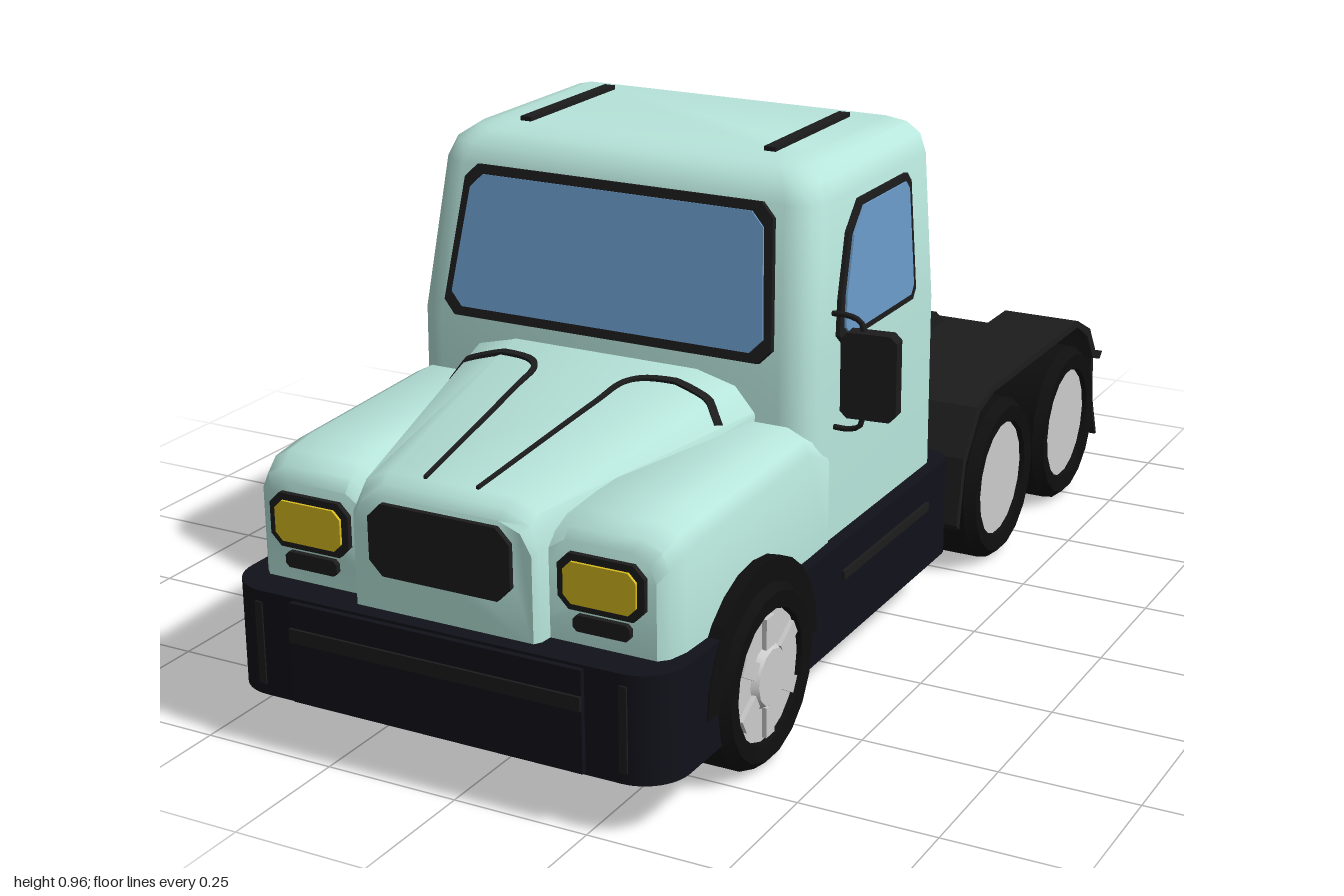
import * as THREE from 'three';
import { toCreasedNormals } from 'three/addons/utils/BufferGeometryUtils.js';

const mat = (color) => new THREE.MeshStandardMaterial({ color });
const paint = mat(0xb8e6dc), black = mat(0x1c1c1c), skirtDark = mat(0x11111a), rubber = mat(0x0e0e0e);
const glass = mat(0x6a9ac8), yellow = mat(0xd8bc20), metal = mat(0xcccccc);
rubber.side = THREE.DoubleSide;

// Closed skin over rings of [x, y, z] with flat end caps; winding is turned outward by volume
function loft(rings, crease = 0.7) {
  const n = rings[0].length, idx = [];
  for (let r = 0; r + 1 < rings.length; r++) {
    for (let i = 0; i < n; i++) {
      const a = r * n + i, b = r * n + (i + 1) % n;
      idx.push(a, b, b + n, a, b + n, a + n);
    }
  }
  const last = (rings.length - 1) * n;
  for (let i = 1; i + 1 < n; i++) idx.push(0, i + 1, i, last, last + i, last + i + 1);
  const p = rings.flat().map((q) => new THREE.Vector3(...q)), c = new THREE.Vector3();
  let volume = 0;
  for (let i = 0; i < idx.length; i += 3) volume += p[idx[i]].dot(c.crossVectors(p[idx[i + 1]], p[idx[i + 2]]));
  if (volume < 0) idx.reverse();
  const g = new THREE.BufferGeometry().setFromPoints(p);
  g.setIndex(idx);
  return toCreasedNormals(g.toNonIndexed(), crease);
}

// Outline in x/y extruded along z, centred on z = 0
function plate(points, depth) {
  const shape = new THREE.Shape(points.map(([x, y]) => new THREE.Vector2(x, y)));
  return new THREE.ExtrudeGeometry(shape, { depth, bevelEnabled: false }).translate(0, 0, -depth / 2);
}
// Outline in z/y extruded along x, centred on x = 0
const sidePlate = (points, depth) => plate(points, depth).rotateY(-Math.PI / 2);
const chamfered = (w, h, c) => [[-w, -h + c], [-w + c, -h], [w - c, -h], [w, -h + c], [w, h - c], [w - c, h], [-w + c, h], [-w, h - c]];
const lerp = THREE.MathUtils.lerp;

// Half cross-section of the hood, and its height at a point
function hoodHalf(z) {
  const t = (z - 0.38) / 0.54;
  const back = [[0.31, 0.28], [0.31, 0.54], [0.27, 0.585], [0.19, 0.605]];
  const front = [[0.18, 0.28], [0.18, 0.46], [0.165, 0.5], [0.12, 0.52]];
  return back.map(([x, y], i) => [lerp(x, front[i][0], t), lerp(y, front[i][1], t)]);
}
function hoodY(x, z) {
  const h = hoodHalf(z), a = Math.abs(x);
  if (a <= h[3][0]) return h[3][1];
  const [q, r] = a <= h[2][0] ? [h[3], h[2]] : [h[2], h[1]];
  return lerp(q[1], r[1], Math.min(1, (a - q[0]) / (r[0] - q[0])));
}

export function createModel() {
  const root = new THREE.Group();
  root.name = 'tractorTruck';
  const truck = new THREE.Group();
  truck.name = 'truck';
  truck.position.x = -0.038;
  root.add(truck);
  const add = (name, geo, m, x = 0, y = 0, z = 0) => {
    const mesh = new THREE.Mesh(geo, m);
    mesh.name = name;
    mesh.position.set(x, y, z);
    truck.add(mesh);
    return mesh;
  };
  const box = (name, m, w, h, d, x, y, z) => add(name, new THREE.BoxGeometry(w, h, d), m, x, y, z);

  // Cab: horizontal rings with rounded front corners
  const cabRing = ([y, w, front, back, r]) => {
    const ring = [[-w, y, back], [w, y, back]];
    for (const s of [1, -1]) {
      for (let i = 0; i <= 4; i++) {
        const a = (s > 0 ? i : 4 - i) * Math.PI / 8;
        ring.push([s * (w - r + r * Math.cos(a)), y, front - r + r * Math.sin(a)]);
      }
    }
    return ring;
  };
  add('cab', loft([[0.28, 0.4, 0.44, -0.08, 0.06], [0.62, 0.4, 0.432, -0.08, 0.06], [0.89, 0.382, 0.374, -0.08, 0.06],
    [0.925, 0.37, 0.357, -0.08, 0.06], [0.945, 0.345, 0.325, -0.075, 0.06], [0.955, 0.31, 0.28, -0.06, 0.05]].map(cabRing)), paint);

  // Windscreen
  for (const [name, m, w, h, d] of [['windscreenFrame', black, 0.33, 0.137, 0.02], ['windscreen', glass, 0.314, 0.12, 0.028]]) {
    const pts = chamfered(w, h, 0.025).map(([x, y]) => [x * (1 - 0.15 * Math.max(0, y + h) * 0.4 / h * 0.3 - (y > 0 ? 0.035 : 0)), y]);
    add(name, plate(pts, d), m, 0, 0.759, 0.404).rotation.x = -0.212;
  }

  // Hood with grille
  const hoodRing = (half, z) => [...half, ...half.map(([x, y]) => [-x, y]).reverse()].map(([x, y]) => [x, y, z]);
  add('hood', loft([hoodRing(hoodHalf(0.38), 0.38), hoodRing(hoodHalf(0.92), 0.92),
    hoodRing([[0.178, 0.28], [0.178, 0.45], [0.16, 0.485], [0.115, 0.507]], 0.942),
    hoodRing([[0.17, 0.28], [0.17, 0.44], [0.15, 0.475], [0.11, 0.49]], 0.955)]), paint);
  add('grille', plate(chamfered(0.135, 0.063, 0.025), 0.02), black, 0, 0.418, 0.955);

  // Lower body and front bumper
  const body = new THREE.Shape();
  body.moveTo(-0.425, -0.92).absarc(-0.345, -0.905, 0.08, Math.PI, Math.PI * 1.5).absarc(0.345, -0.905, 0.08, -Math.PI / 2, 0);
  body.absarc(0.375, 0.1, 0.05, 0, Math.PI / 2).absarc(-0.375, 0.1, 0.05, Math.PI / 2, Math.PI);
  const skirtGeo = new THREE.ExtrudeGeometry(body, { depth: 0.19, bevelEnabled: false, curveSegments: 6 });
  add('skirt', toCreasedNormals(skirtGeo.rotateX(-Math.PI / 2), 0.5), skirtDark, 0, 0.1, 0);
  box('bumperPlate', skirtDark, 0.56, 0.18, 0.02, 0, 0.195, 0.985);
  box('bumperStrip', black, 0.56, 0.025, 0.01, 0, 0.228, 0.995);

  // Parts on both sides
  const archProfile = [];
  for (let i = 0; i <= 12; i++) archProfile.push([0.2 * Math.cos(i * Math.PI / 12), 0.2 * Math.sin(i * Math.PI / 12)]);
  const fenderTop = [[-0.175, 0.13], [-0.2, 0.26], [-0.265, 0.345], [-0.35, 0.365], [-0.82, 0.365], [-0.9, 0.325], [-0.94, 0.265], [-0.985, 0.25]];
  const fenderUnder = fenderTop.map(([z, y], i) => [z + (i < 3 ? -0.014 : i > 4 ? 0.014 : 0), y - 0.014]).reverse();
  const windowOutline = [[0.02, -0.117], [0.31, -0.117], [0.328, -0.1], [0.315, -0.04], [0.272, 0.07], [0.22, 0.117], [0.02, 0.117], [0.005, 0.1], [0.005, -0.1]];

  for (const s of [-1, 1]) {
    // Front wing with headlight and indicator
    add('frontWing', loft([[0.36, 0.403, 0.485], [0.44, 0.405, 0.522], [0.8, 0.403, 0.51], [0.87, 0.4, 0.502], [0.905, 0.39, 0.485], [0.92, 0.375, 0.465]]
      .map(([z, w, h]) => [[0.1, 0.28], [w, 0.28], [w, h - 0.045], [w - 0.012, h - 0.018], [w - 0.045, h], [0.21, h], [0.18, h - 0.02], [0.1, h - 0.03]]
        .map(([x, y]) => [s * x, y, z]))), paint);
    add('headlightFrame', plate(chamfered(0.079, 0.048, 0.02), 0.02), black, s * 0.28, 0.4, 0.92);
    add('headlight', plate(chamfered(0.066, 0.036, 0.014), 0.03), yellow, s * 0.28, 0.4, 0.92);
    add('indicator', plate(chamfered(0.052, 0.014, 0.007), 0.02), black, s * 0.28, 0.33, 0.92);

    // Hood line following the surface
    const path = new THREE.CatmullRomCurve3([[0.27, 0.515], [0.23, 0.495], [0.12, 0.495], [0.09, 0.52], [0.08, 0.6], [0.05, 0.92]]
      .map(([x, z]) => new THREE.Vector3(x, 0, z)), false, 'centripetal');
    const rings = [];
    for (let i = 0; i <= 30; i++) {
      const p = path.getPoint(i / 30), d = path.getTangent(i / 30), w = lerp(0.009, 0.003, i / 30);
      rings.push([[1, 1], [-1, 1], [-1, -1], [1, -1]].map(([e, f]) => {
        const x = p.x + d.z * w * e, z = p.z - d.x * w * e;
        return [s * x, hoodY(x, z) + f * 0.005, z];
      }));
    }
    add('hoodLine', loft(rings), black);

    // Door window
    for (const [name, m, k, d] of [['doorWindowFrame', black, 1, 0.014], ['doorWindow', glass, 0.89, 0.022]]) {
      const pts = windowOutline.map(([z, y]) => [0.16 + (z - 0.16) * k, y * k]);
      add(name, sidePlate(pts, d), m, s * 0.392, 0.758, 0).rotation.z = s * 0.067;
    }
    box('roofRail', black, 0.022, 0.014, 0.3, s * 0.246, 0.956, 0.13);
    box('sideStep', black, 0.012, 0.016, 0.37, s * 0.425, 0.228, 0.165);
    box('bumperRib', black, 0.014, 0.15, 0.012, s * 0.35, 0.195, 0.982);
    add('wheelArch', sidePlate(archProfile, 0.13), rubber, s * 0.362, 0.165, 0.65);

    // Rear mudguard with flap
    add('rearMudguard', sidePlate([...fenderTop, ...fenderUnder], 0.165), black, s * 0.342, 0, 0);
    const flap = [[-0.925, 0.27], [-0.94, 0.27], [-0.945, 0.16], [-0.982, 0.06], [-0.974, 0.06], [-0.932, 0.16]];
    add('mudFlap', sidePlate(flap, 0.15), black, s * 0.345, 0, 0);

    // Uprights behind the cab
    add('upright', sidePlate([[-0.07, 0.28], [-0.07, 0.68], [-0.12, 0.68], [-0.13, 0.53], [-0.18, 0.41], [-0.265, 0.41], [-0.285, 0.38], [-0.31, 0.28]], 0.045), black, s * 0.095, 0, 0);

    // Tail lamps and coupling hooks
    box('tailLamp', yellow, 0.055, 0.036, 0.02, s * 0.275, 0.24, -0.985);
    box('tailLampSmall', yellow, 0.025, 0.036, 0.02, s * 0.225, 0.24, -0.985);
    const hook = [[-0.83, 0.28], [-0.83, 0.325], [-0.86, 0.325], [-0.92, 0.28]];
    add('couplingHook', sidePlate(hook, 0.025), black, s * 0.07, 0, 0);
  }

  // Wheels
  const tyreGeo = new THREE.LatheGeometry([[0.114, -0.065], [0.118, -0.077], [0.148, -0.08], [0.164, -0.06], [0.164, 0.06], [0.148, 0.08], [0.118, 0.077], [0.114, 0.065]]
    .map(([x, y]) => new THREE.Vector2(x, y)), 18);
  const tyre = toCreasedNormals(tyreGeo.toNonIndexed(), 0.6);
  for (const z of [0.65, -0.375, -0.74]) {
    for (const s of [-1, 1]) {
      const wheel = new THREE.Group();
      wheel.name = z > 0 ? 'frontWheel' : 'rearWheel';
      wheel.position.set(s * 0.362, 0.164, z);
      wheel.rotation.z = -s * Math.PI / 2;
      const part = (name, geo, m, x, y, zz) => {
        const mesh = new THREE.Mesh(geo, m);
        mesh.name = name;
        mesh.position.set(x, y, zz);
        wheel.add(mesh);
        return mesh;
      };
      part('tyre', tyre, rubber, 0, 0, 0);
      part('rim', new THREE.CylinderGeometry(0.116, 0.116, 0.135, 18), metal, 0, 0, 0);
      if (z > 0) {
        part('hub', new THREE.CylinderGeometry(0.05, 0.06, 0.016, 12), metal, 0, 0.072, 0);
        for (let i = 0; i < 6; i++) {
          const a = i * Math.PI / 3;
          part('spoke', new THREE.BoxGeometry(0.055, 0.012, 0.03), metal, 0.08 * Math.cos(a), 0.07, 0.08 * Math.sin(a)).rotation.y = -a;
        }
      }
      truck.add(wheel);
    }
    add('axle', new THREE.CylinderGeometry(0.03, 0.03, 0.62, 10).rotateZ(Math.PI / 2), black, 0, 0.164, z);
  }

  // Chassis, tail beam and coupling plate
  add('chassis', sidePlate([[-0.06, 0.14], [-0.06, 0.34], [-0.26, 0.34], [-0.34, 0.29], [-0.93, 0.29], [-0.93, 0.2], [-0.86, 0.14]], 0.48), black);
  box('tailBeam', black, 0.64, 0.07, 0.07, 0, 0.24, -0.95);
  add('couplingBase', new THREE.CylinderGeometry(0.1, 0.1, 0.105, 14), black, 0, 0.3375, -0.745);
  add('couplingDisc', new THREE.CylinderGeometry(0.098, 0.1, 0.01, 14), paint, 0, 0.392, -0.745);

  // Door mirror on two arms
  add('mirror', plate(chamfered(0.05, 0.077, 0.012), 0.03), black, 0.468, 0.6, 0.335).rotation.y = 0.12;
  for (const [y, e] of [[0.7, -1], [0.497, 1]]) {
    const arm = new THREE.CatmullRomCurve3([[0.38, y], [0.43, y], [0.45, y + e * 0.01], [0.453, y + e * 0.04]].map(([x, h]) => new THREE.Vector3(x, h, 0.335)));
    add('mirrorArm', new THREE.TubeGeometry(arm, 10, 0.005, 6), black);
  }
  return root;
}
